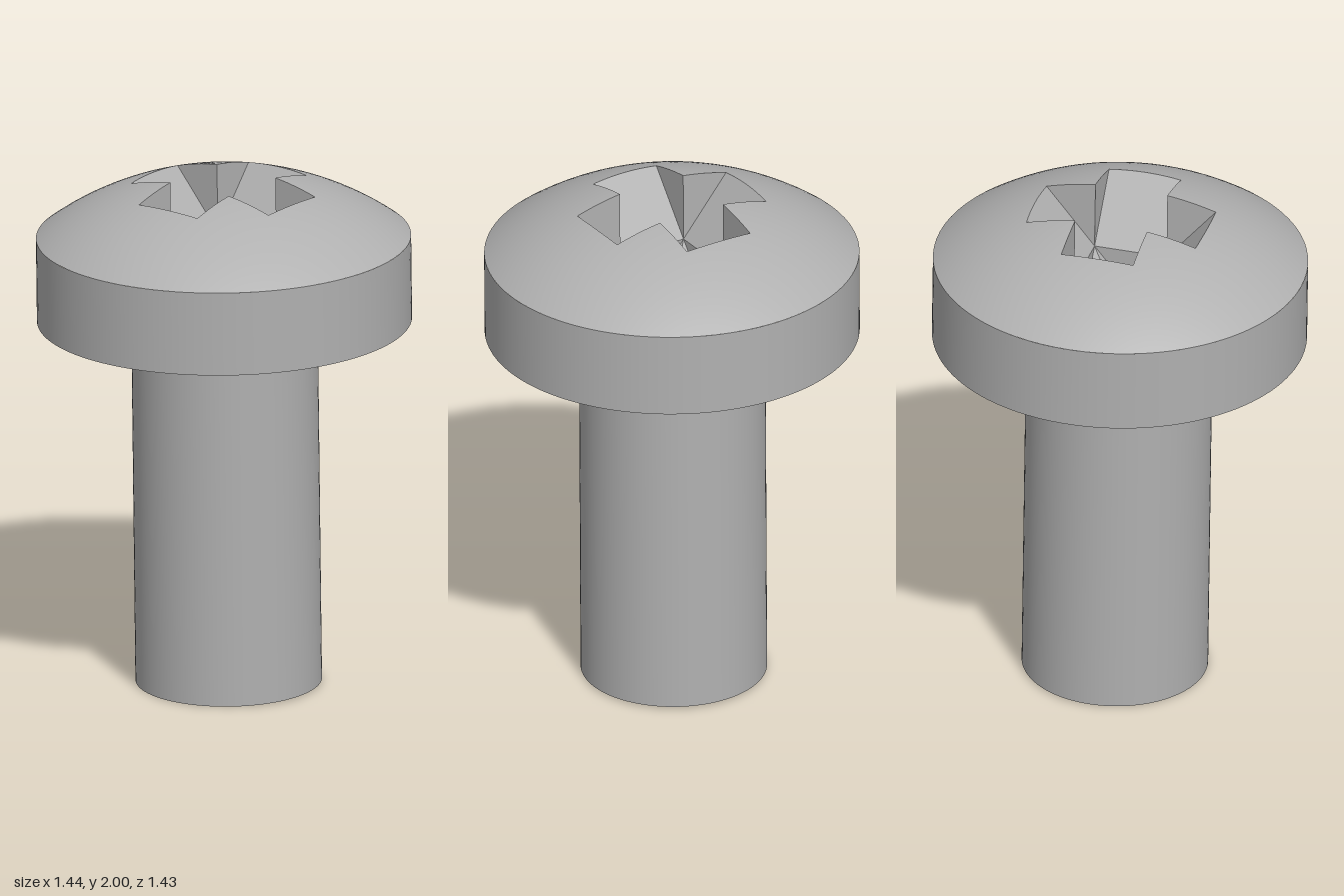
import * as THREE from 'three';

const HEAD_R = 0.716, SHAFT_R = 0.356, HEAD_BASE = 1.44, RIM_Y = 1.77, APEX_Y = 2.012;
const RISE = APEX_Y - RIM_Y;
const DOME_R = (HEAD_R ** 2 + RISE ** 2) / (2 * RISE);
// cross recess: half width of an arm, floor slope, deepest level
const B = 0.1425, SLOPE = 1.2, DEEP = 1.552;

const domeY = (x, z) => APEX_Y - DOME_R + Math.sqrt(DOME_R ** 2 - x * x - z * z);
const floorY = (u) => DEEP + SLOPE * u;
const onDome = (x, z) => [x, domeY(x, z), z];

// where the sloping arm floor breaks through the dome
function armEnd(w) {
  let u = 0.33;
  for (let i = 0; i < 30; i++) u = (domeY(u, w) - DEEP) / SLOPE;
  return u;
}

// outline of one arm, from one inner corner round the tip to the other
function armOutline(n) {
  const end = armEnd(B), pts = [];
  for (let i = 0; i < n; i++) pts.push([B + (end - B) * i / n, B]);
  for (let i = 0; i < n; i++) {
    const w = B - 2 * B * i / n;
    pts.push([armEnd(w), w]);
  }
  for (let i = 0; i < n; i++) pts.push([end + (B - end) * i / n, -B]);
  return pts;
}

// spherical cap around the cross-shaped opening, with true sphere normals
function domeGeometry() {
  const rows = 14, outline = [], pos = [], nor = [], idx = [];
  for (let q = 0; q < 4; q++) {
    const c = Math.cos(q * Math.PI / 2), s = Math.sin(q * Math.PI / 2);
    for (const [x, z] of armOutline(10)) outline.push([x * c + z * s, z * c - x * s]);
  }
  const count = outline.length;
  for (const [x, z] of outline) {
    const r0 = Math.hypot(x, z);
    for (let j = 0; j <= rows; j++) {
      const r = r0 + (HEAD_R - r0) * j / rows;
      const px = x / r0 * r, pz = z / r0 * r, py = domeY(px, pz);
      pos.push(px, py, pz);
      nor.push(px / DOME_R, (py - APEX_Y + DOME_R) / DOME_R, pz / DOME_R);
    }
  }
  for (let i = 0; i < count; i++) {
    for (let j = 0; j < rows; j++) {
      const a = i * (rows + 1) + j, b = ((i + 1) % count) * (rows + 1) + j;
      idx.push(a, a + 1, b + 1, a, b + 1, b);
    }
  }
  const g = new THREE.BufferGeometry();
  g.setAttribute('position', new THREE.Float32BufferAttribute(pos, 3));
  g.setAttribute('normal', new THREE.Float32BufferAttribute(nor, 3));
  g.setIndex(idx);
  return g;
}

// one quarter of the recess: arm floor, side walls and the centre facets
function recessArmGeometry() {
  const pos = [], n = 10, h = floorY(B), end = armEnd(B);
  const tri = (a, b, c) => pos.push(...a, ...b, ...c);
  const quad = (a, b, c, d) => { tri(a, b, c); tri(a, c, d); };
  for (let i = 0; i < n; i++) {
    // sloping floor
    const w0 = B - 2 * B * i / n, w1 = B - 2 * B * (i + 1) / n;
    quad([B, h, w0], onDome(armEnd(w0), w0), onDome(armEnd(w1), w1), [B, h, w1]);
    // upright side walls
    const u0 = B + (end - B) * i / n, u1 = B + (end - B) * (i + 1) / n;
    quad([u0, floorY(u0), -B], [u1, floorY(u1), -B], onDome(u1, -B), onDome(u0, -B));
    quad(onDome(u0, B), onDome(u1, B), [u1, floorY(u1), B], [u0, floorY(u0), B]);
  }
  // step down from the arm into the centre
  tri([B, h, -B], [B, DEEP, 0], [B, h, B]);
  // centre facets
  tri([0, DEEP, 0], [B, h, B], [B, DEEP, 0]);
  tri([0, DEEP, 0], [B, DEEP, 0], [B, h, -B]);
  const g = new THREE.BufferGeometry();
  g.setAttribute('position', new THREE.Float32BufferAttribute(pos, 3));
  g.computeVertexNormals();
  return g;
}

export function createModel() {
  const steel = new THREE.MeshStandardMaterial({ color: 0xb0b0b0 });
  steel.name = 'steelGrey';
  const model = new THREE.Group();
  model.name = 'screw';
  const add = (name, geometry, parent = model) => {
    const mesh = new THREE.Mesh(geometry, steel);
    mesh.name = name;
    parent.add(mesh);
    return mesh;
  };

  // shaft
  add('shaft', new THREE.CylinderGeometry(SHAFT_R, SHAFT_R, HEAD_BASE, 96)).position.y = HEAD_BASE / 2;

  // head: side band and flat underside
  const bandH = RIM_Y - HEAD_BASE;
  add('headBand', new THREE.CylinderGeometry(HEAD_R, HEAD_R, bandH, 120, 1, true)).position.y = HEAD_BASE + bandH / 2;
  const under = add('headUnderside', new THREE.RingGeometry(SHAFT_R, HEAD_R, 120));
  under.rotation.x = Math.PI / 2;
  under.position.y = HEAD_BASE;

  // domed top with the cross recess, turned on the axis
  const top = new THREE.Group();
  top.name = 'headTop';
  top.rotation.y = THREE.MathUtils.degToRad(14);
  model.add(top);
  add('dome', domeGeometry(), top);
  const armGeometry = recessArmGeometry();
  for (let q = 0; q < 4; q++) add('recessArm', armGeometry, top).rotation.y = q * Math.PI / 2;

  // slight lean
  model.rotation.z = 0.014;
  model.position.set(0.02, 0.005, 0);
  const root = new THREE.Group();
  root.name = 'crossHeadScrew';
  root.add(model);
  return root;
}
